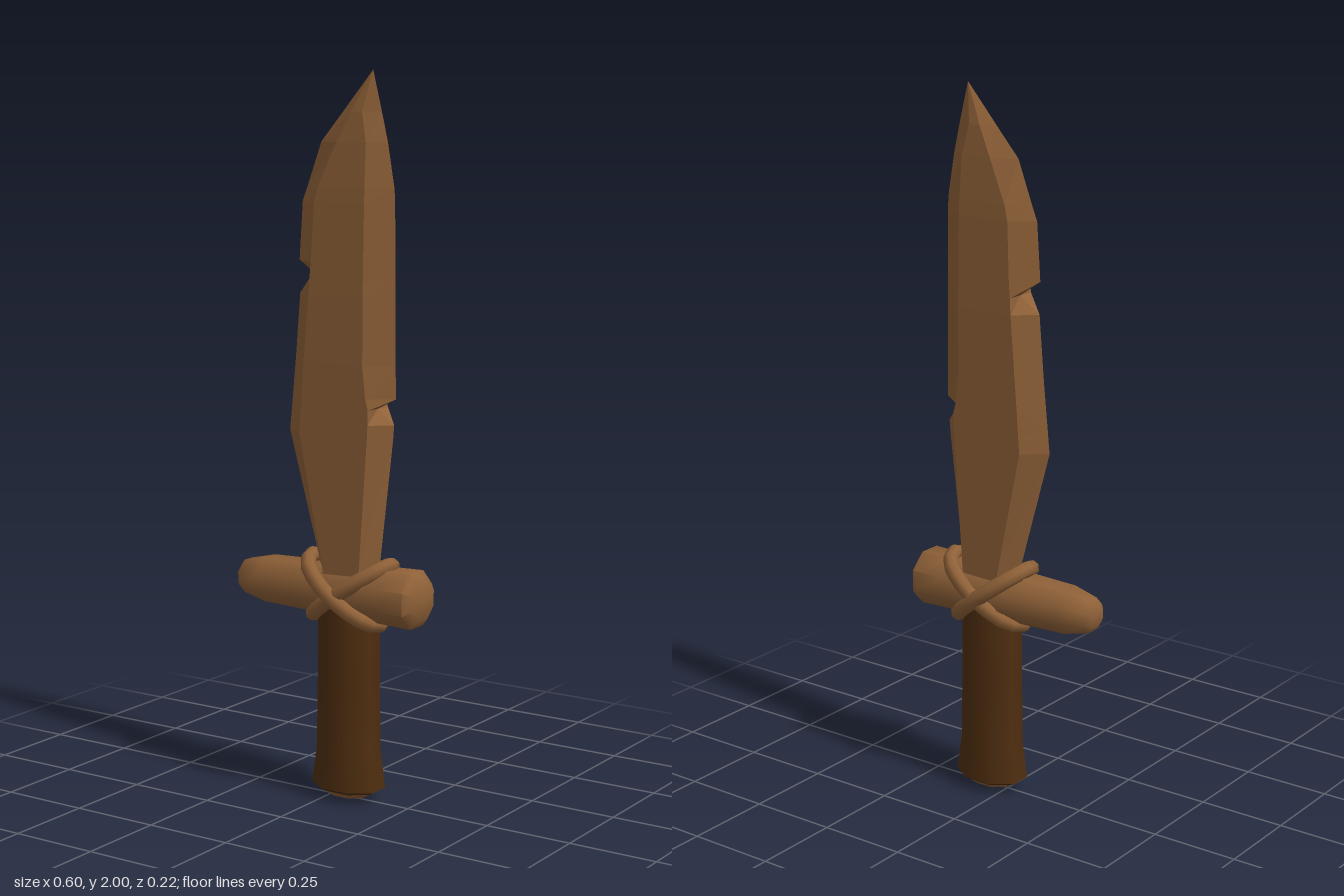
import * as THREE from 'three';
import { toCreasedNormals } from 'three/addons/utils/BufferGeometryUtils.js';

const wood = new THREE.MeshStandardMaterial({ color: 0x8f6138 });
wood.name = 'light wood';
const darkWood = new THREE.MeshStandardMaterial({ color: 0x4f2e10 });
darkWood.name = 'dark grip';

function part(name, geometry, material, parent) {
  const mesh = new THREE.Mesh(geometry, material);
  mesh.name = name;
  parent.add(mesh);
  return mesh;
}

// Eight-sided turned shape from [radius, height] pairs
function turned(profile, crease) {
  const points = profile.map(([r, y]) => new THREE.Vector2(r, y));
  return toCreasedNormals(new THREE.LatheGeometry(points, 8, Math.PI / 8), crease);
}

// Faceted loft of six-sided blade sections: [y, left edge, left ridge, right ridge, right edge, half thickness]
function bladeGeometry(sections) {
  const rings = sections.map(([y, l, rl, rr, r, t]) => [
    [l, y, 0], [rl, y, t], [rr, y, t], [r, y, 0], [rr, y, -t], [rl, y, -t],
  ]);
  const pos = [];
  for (let s = 0; s < rings.length - 1; s++) {
    for (let i = 0; i < 6; i++) {
      const j = (i + 1) % 6;
      const [a, b, c, d] = [rings[s][i], rings[s][j], rings[s + 1][j], rings[s + 1][i]];
      pos.push(...a, ...b, ...c, ...a, ...c, ...d);
    }
  }
  const geometry = new THREE.BufferGeometry();
  geometry.setAttribute('position', new THREE.Float32BufferAttribute(pos, 3));
  geometry.computeVertexNormals();
  return geometry;
}

// Closed oval cord, tilted across the guard
function cordGeometry(length, depth, tilt) {
  const points = [];
  for (let i = 0; i < 10; i++) {
    const a = (i / 10) * Math.PI * 2;
    points.push(new THREE.Vector3(Math.cos(a) * length, 0, Math.sin(a) * depth));
  }
  const curve = new THREE.CatmullRomCurve3(points, true);
  return new THREE.TubeGeometry(curve, 20, 0.022, 8, true).rotateZ(tilt);
}

export function createModel() {
  const model = new THREE.Group();
  model.name = 'woodenDagger';

  // Blade with one notch in each edge
  part('blade', bladeGeometry([
    [0.55, -0.02, 0.01, 0.11, 0.13, 0.05],
    [0.66, -0.04, 0.0, 0.12, 0.155, 0.05],
    [1.02, -0.14, -0.075, 0.145, 0.197, 0.05],
    [1.06, -0.136, -0.072, 0.147, 0.2, 0.05],
    [1.1, -0.132, -0.069, 0.148, 0.148, 0.05],
    [1.13, -0.129, -0.067, 0.14, 0.205, 0.05],
    [1.22, -0.12, -0.06, 0.13, 0.204, 0.05],
    [1.4, -0.105, -0.045, 0.13, 0.203, 0.049],
    [1.445, -0.042, -0.042, 0.13, 0.202, 0.048],
    [1.49, -0.107, -0.038, 0.13, 0.202, 0.047],
    [1.65, -0.096, -0.03, 0.13, 0.2, 0.043],
    [1.69, -0.08, -0.02, 0.13, 0.198, 0.041],
    [1.81, -0.035, 0.035, 0.128, 0.177, 0.032],
    [1.89, 0.035, 0.075, 0.11, 0.158, 0.023],
    [2.0, 0.13, 0.13, 0.13, 0.13, 0],
  ]), wood, model);

  // Crossguard, thicker toward the model's left
  const guard = part('crossguard', turned([
    [0, -0.3], [0.032, -0.3], [0.05, -0.285], [0.068, -0.21],
    [0.08, 0.18], [0.083, 0.275], [0.055, 0.297], [0, 0.3],
  ], 0.9).rotateZ(-Math.PI / 2), wood, model);
  guard.position.y = 0.59;

  // Flattened grip, flared at the foot
  const grip = new THREE.Group();
  grip.name = 'grip';
  grip.position.x = 0.055;
  grip.scale.z = 0.72;
  model.add(grip);
  part('gripShaft', turned([
    [0.09, 0.025], [0.11, 0.035], [0.096, 0.14], [0.093, 0.35], [0.092, 0.6],
  ], 0.9), darkWood, grip);
  part('gripEnd', turned([[0, 0], [0.06, 0.008], [0.09, 0.025]], 0.9), wood, grip);

  // Two cords crossing over the guard
  const cordA = part('cordFalling', cordGeometry(0.14, 0.089, -0.66), wood, model);
  cordA.position.set(0.045, 0.59, 0);
  const cordB = part('cordRising', cordGeometry(0.145, 0.078, 0.6), wood, model);
  cordB.position.set(0.067, 0.592, 0);

  return model;
}
